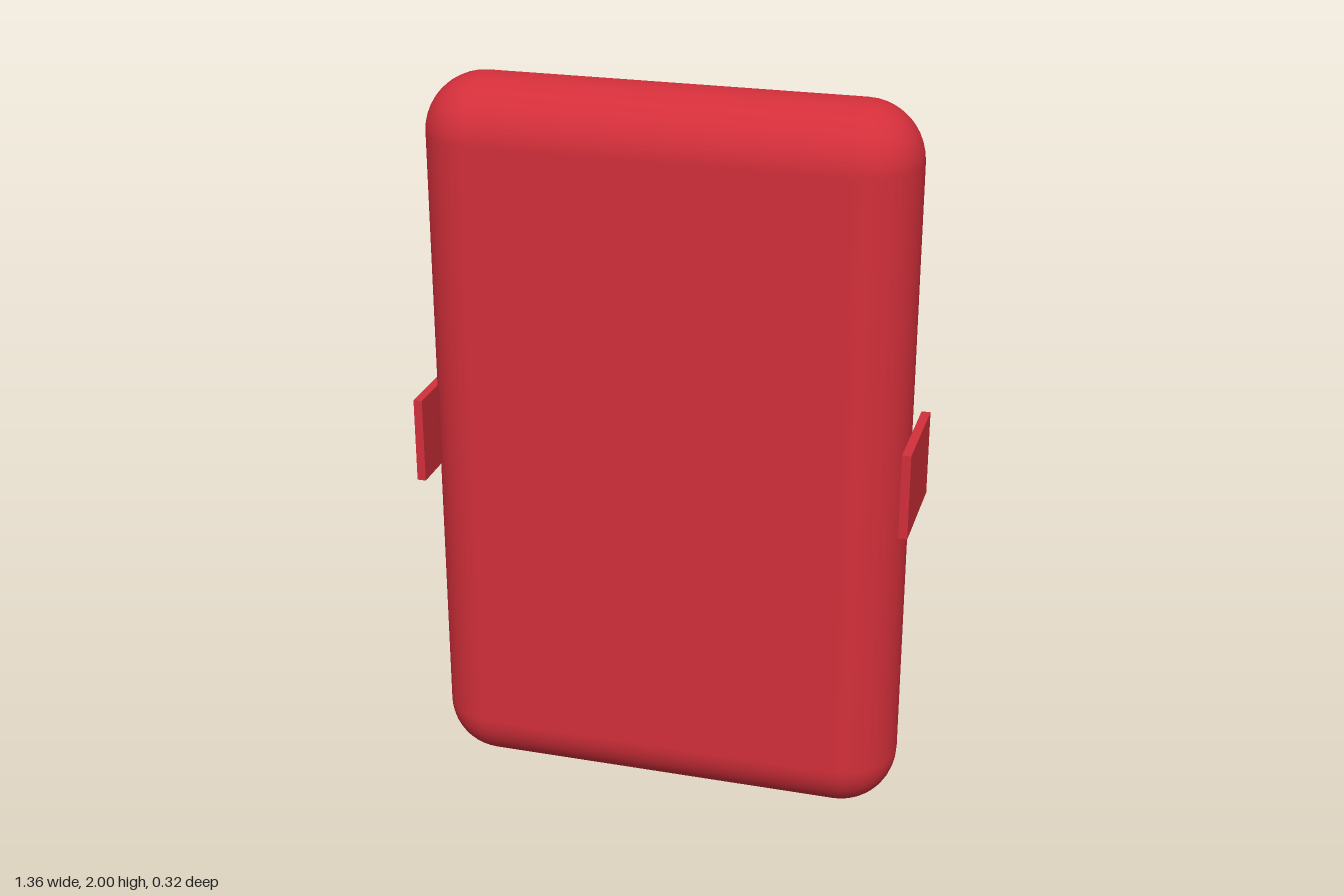
import * as THREE from 'three';
import { RoundedBoxGeometry } from 'three/addons/geometries/RoundedBoxGeometry.js';

export function createModel() {
  const group = new THREE.Group();
  const red = new THREE.MeshStandardMaterial({ color: 0xd32f3a });

  // Slab with fully rounded edges
  const body = new THREE.Mesh(new RoundedBoxGeometry(1.306, 2, 0.316, 6, 0.156), red);
  body.name = 'body';
  body.position.y = 1;
  group.add(body);

  // Thin flat plate on each side edge
  for (const side of [-1, 1]) {
    const plate = new THREE.Mesh(new THREE.BoxGeometry(0.024, 0.236, 0.296), red);
    plate.name = side > 0 ? 'leftSidePlate' : 'rightSidePlate';
    plate.position.set(side * 0.666, 1.003, -0.002);
    group.add(plate);
  }
  return group;
}
